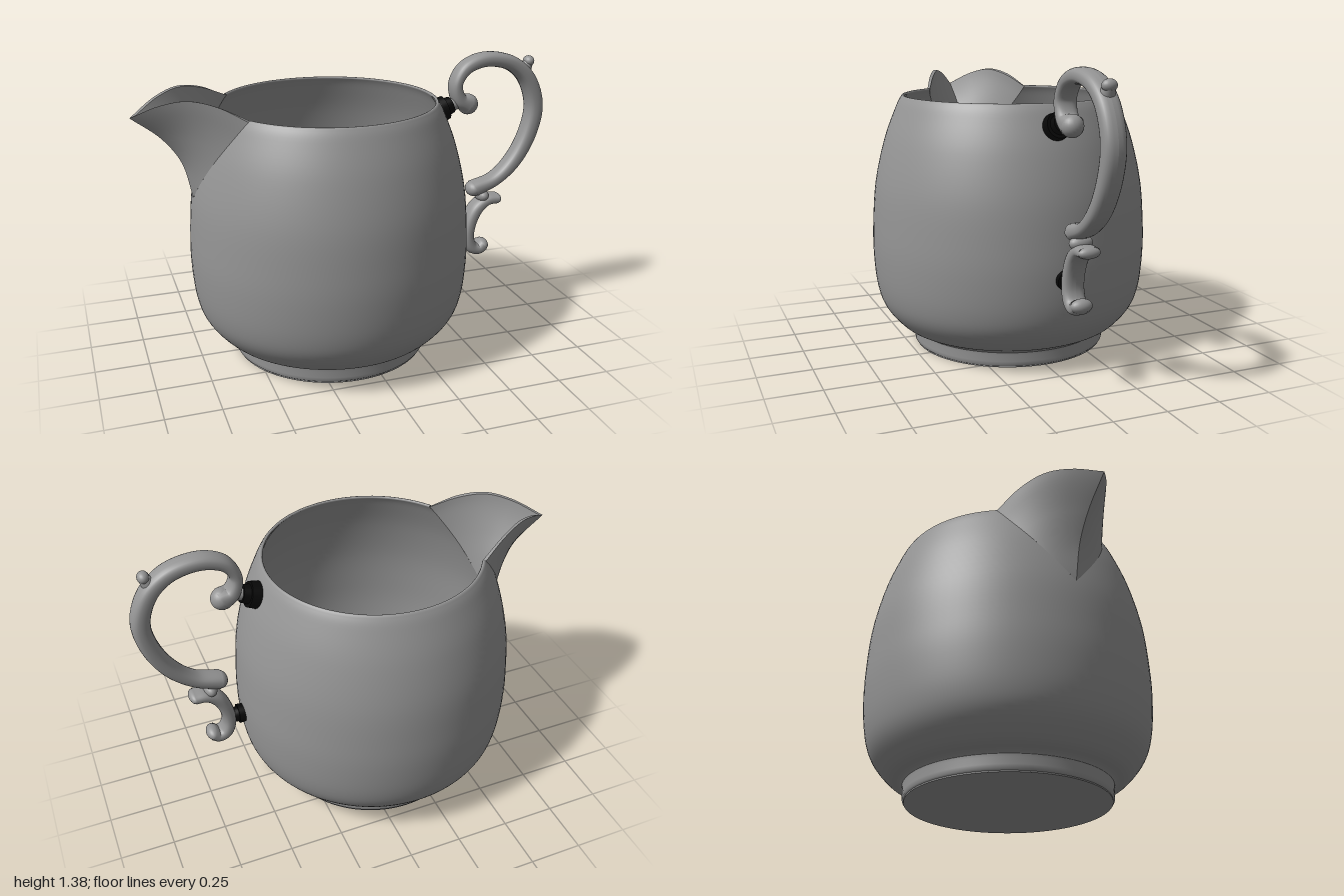
import * as THREE from 'three';

const grey = new THREE.MeshStandardMaterial({ color: 0x949494, side: THREE.DoubleSide });
const black = new THREE.MeshStandardMaterial({ color: 0x080808 });
const V2 = (x, y) => new THREE.Vector2(x, y);
const V3 = (x, y, z = 0) => new THREE.Vector3(x, y, z);
const AXIS = -0.11; // x of the body's centre
const WALL = 0.016; // wall thickness
const NOTCH_Y = 0.8, RIM_Y = 1.2, NOTCH_ANGLE = 0.56;

// Outer wall of the body, sampled from a smooth profile
const outer = new THREE.SplineCurve([
  [0.465, 0.07], [0.482, 0.086], [0.54, 0.116], [0.61, 0.2], [0.643, 0.3], [0.657, 0.45],
  [0.655, 0.6], [0.637, NOTCH_Y], [0.59, 1.0], [0.533, 1.15], [0.507, RIM_Y],
].map(p => V2(...p))).getPoints(60);

function radiusAt(y) {
  let i = 1;
  while (i < outer.length - 1 && outer[i].y < y) i++;
  const a = outer[i - 1], b = outer[i];
  return a.x + (b.x - a.x) * (y - a.y) / (b.y - a.y);
}

function add(parent, name, geometry, material = grey) {
  const mesh = new THREE.Mesh(geometry, material);
  mesh.name = name;
  parent.add(mesh);
  return mesh;
}

// Smooth sheet through fn(u, v), both from 0 to 1
function sheet(fn, nu, nv) {
  const pos = [], index = [];
  for (let j = 0; j <= nv; j++) for (let i = 0; i <= nu; i++) pos.push(...fn(i / nu, j / nv).toArray());
  for (let j = 0; j < nv; j++) for (let i = 0; i < nu; i++) {
    const a = j * (nu + 1) + i, b = a + nu + 1;
    index.push(a, a + 1, b, a + 1, b + 1, b);
  }
  const g = new THREE.BufferGeometry();
  g.setAttribute('position', new THREE.Float32BufferAttribute(pos, 3));
  g.setIndex(index);
  g.computeVertexNormals();
  return g;
}

// Hollow body: a lathe whose seam opens into a V-shaped notch for the spout
function bodyGeometry() {
  const rim = [V2(0.503, 1.205), V2(0.499, 1.206), V2(0.494, 1.205)];
  const inner = outer.filter(p => p.y > 0.14).reverse().map(p => V2(p.x - WALL, p.y));
  const floor = [V2(0.5, 0.115), V2(0.455, 0.1), V2(0.445, 0.098), V2(0, 0.098)];
  const g = new THREE.LatheGeometry([...outer, ...rim, ...inner, ...floor], 96, -Math.PI / 2);
  const p = g.attributes.position, n = g.attributes.normal, v = V3(0, 0), up = V3(0, 1);
  const rows = p.count / 97;
  for (let i = 0; i < p.count; i++) {
    const u = Math.floor(i / rows) / 96;
    const open = NOTCH_ANGLE * THREE.MathUtils.clamp((p.getY(i) - NOTCH_Y) / (RIM_Y - NOTCH_Y), 0, 1);
    for (const attr of [p, n]) {
      v.fromBufferAttribute(attr, i).applyAxisAngle(up, open * (1 - 2 * u));
      attr.setXYZ(i, v.x, v.y, v.z);
    }
  }
  return g;
}

// One half of a spout wall: t runs from the notch's tip to the lip, s from keel to body
function spoutWall(inset, keelPoints, lipPoints, side) {
  const seam = t => {
    const y = NOTCH_Y + (RIM_Y - NOTCH_Y) * t, r = radiusAt(y) - inset, a = NOTCH_ANGLE * t;
    return V3(AXIS - r * Math.cos(a), y, r * Math.sin(a));
  };
  const keel = new THREE.CatmullRomCurve3([seam(0), ...keelPoints]);
  const tip = keelPoints[keelPoints.length - 1];
  const lip = new THREE.CatmullRomCurve3([tip, ...lipPoints, seam(1)]);
  return (s, t) => {
    const bulge = lip.getPoint(s).sub(tip.clone().lerp(seam(1), s));
    const p = keel.getPoint(t).lerp(seam(t), s).addScaledVector(bulge, t * t);
    p.z *= side;
    return p;
  };
}

function spout() {
  const g = new THREE.Group();
  g.name = 'spout';
  for (const side of [1, -1]) {
    const out = spoutWall(0, [V3(-0.79, 0.97), V3(-0.87, 1.085), V3(-1, 1.19)],
      [V3(-0.88, 1.255, 0.09), V3(-0.77, 1.282, 0.158), V3(-0.655, 1.26, 0.217)], side);
    const inn = spoutWall(WALL, [V3(-0.775, 0.975), V3(-0.858, 1.092), V3(-0.982, 1.193)],
      [V3(-0.872, 1.253, 0.077), V3(-0.765, 1.279, 0.143), V3(-0.652, 1.257, 0.202)], side);
    add(g, 'spoutOuterWall', sheet(out, 24, 24));
    add(g, 'spoutInnerWall', sheet(inn, 24, 24));
    add(g, 'spoutLip', sheet((s, k) => out(s, 1).lerp(inn(s, 1), k), 24, 1));
  }
  return g;
}

// Scroll in the xy plane from [x, y, in-plane radius] points, with rounded ends
const DEPTH = 0.05;
function scroll(parent, name, points) {
  const curve = new THREE.CatmullRomCurve3(points.map(p => V3(...p))); // z carries the radius
  const soft = c => Math.sign(c) * Math.abs(c) ** 0.8;
  add(parent, name, sheet((u, v) => {
    const p = curve.getPoint(v), d = curve.getTangent(v);
    const a = u * Math.PI * 2, w = p.z * soft(Math.cos(a));
    return V3(p.x - d.y * w, p.y + d.x * w, DEPTH * soft(Math.sin(a)));
  }, 24, points.length * 8));
  for (const [x, y, r] of [points[0], points[points.length - 1]]) knob(parent, name + 'End', x, y, r, DEPTH);
}

function knob(parent, name, x, y, r, depth) {
  const m = add(parent, name, new THREE.SphereGeometry(1, 24, 16));
  m.position.set(x, y, 0);
  m.scale.set(r, r, depth);
}

// Tapered rod between two points in the xy plane
function rod(parent, name, [ax, ay, ar], [bx, by, br], material) {
  const dx = bx - ax, dy = by - ay;
  const m = add(parent, name, new THREE.CylinderGeometry(br, ar, Math.hypot(dx, dy), 32), material);
  m.position.set((ax + bx) / 2, (ay + by) / 2, 0);
  m.rotation.z = Math.atan2(dy, dx) - Math.PI / 2;
}

function handle() {
  const g = new THREE.Group();
  g.name = 'handle';
  scroll(g, 'upperScroll', [
    [0.595, 1.13, 0.05], [0.55, 1.155, 0.036], [0.527, 1.23, 0.028], [0.565, 1.3, 0.031],
    [0.635, 1.335, 0.034], [0.715, 1.341, 0.035], [0.82, 1.312, 0.037], [0.905, 1.235, 0.04],
    [0.953, 1.1, 0.042], [0.927, 0.955, 0.041], [0.852, 0.82, 0.037], [0.755, 0.735, 0.032], [0.645, 0.695, 0.038],
  ]);
  scroll(g, 'lowerScroll', [
    [0.77, 0.634, 0.025], [0.716, 0.63, 0.027], [0.663, 0.59, 0.032], [0.627, 0.51, 0.032],
    [0.622, 0.435, 0.031], [0.645, 0.385, 0.031], [0.68, 0.373, 0.029], [0.705, 0.39, 0.031],
  ]);
  knob(g, 'scrollJoint', 0.692, 0.658, 0.032, 0.054);
  // Thumb knob on top of the handle
  rod(g, 'thumbKnobNeck', [0.872, 1.25, 0.045], [0.91, 1.315, 0.024]);
  knob(g, 'thumbKnob', 0.911, 1.32, 0.026, 0.033);
  // Insulating collars and pins joining the handle to the body
  rod(g, 'upperCollar', [0.43, 1.105, 0.063], [0.478, 1.122, 0.058], black);
  rod(g, 'upperCollarNeck', [0.47, 1.12, 0.046], [0.508, 1.134, 0.04], black);
  rod(g, 'upperPin', [0.5, 1.13, 0.03], [0.58, 1.15, 0.03]);
  rod(g, 'lowerCollar', [0.53, 0.46, 0.043], [0.575, 0.46, 0.046], black);
  rod(g, 'lowerCollarNeck', [0.575, 0.46, 0.037], [0.605, 0.46, 0.035], black);
  return g;
}

export function createModel() {
  const model = new THREE.Group();
  model.name = 'creamJug';
  add(model, 'body', bodyGeometry()).position.x = AXIS;
  // Foot ring with a closed underside
  const base = new THREE.CylinderGeometry(0.458, 0.458, 0.01, 96);
  const foot = new THREE.LatheGeometry([[0.458, 0.006], [0.465, 0.012], [0.466, 0.03], [0.466, 0.06], [0.468, 0.075]].map(p => V2(...p)), 96);
  add(model, 'foot', foot).position.x = AXIS;
  add(model, 'footBase', base).position.set(AXIS, 0.005, 0);
  model.add(spout(), handle());
  return model;
}
